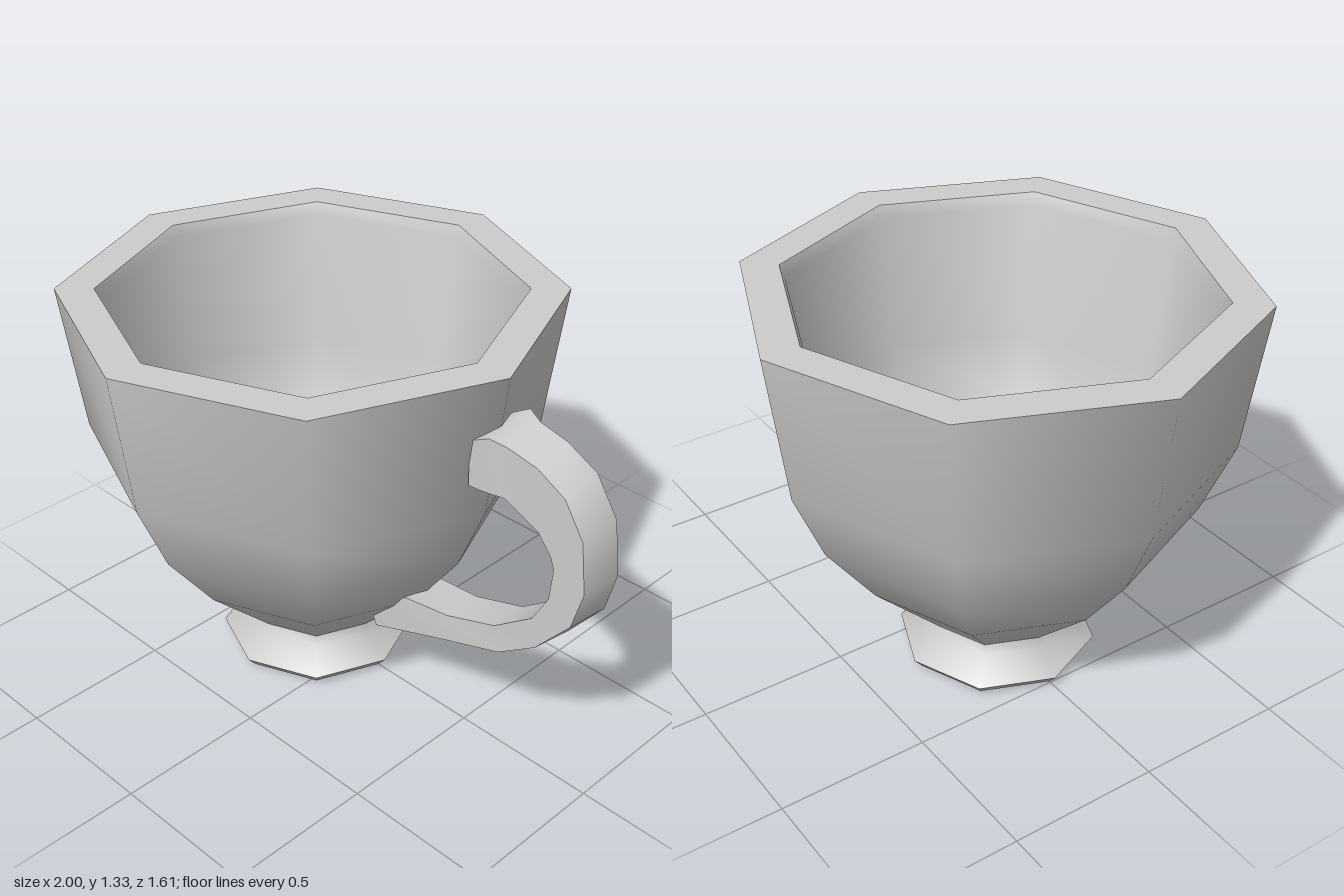
import * as THREE from 'three';
import { toCreasedNormals } from 'three/addons/utils/BufferGeometryUtils.js';

const clay = new THREE.MeshStandardMaterial({ color: 0xcccccc });
clay.name = 'plain grey';

// Octagonal lathe, smooth around the sides but sharp at rims and feet
function turned(name, profile) {
  const points = profile.map(([r, y]) => new THREE.Vector2(r, y));
  const geometry = toCreasedNormals(new THREE.LatheGeometry(points, 8), 0.84);
  const mesh = new THREE.Mesh(geometry, clay);
  mesh.name = name;
  mesh.position.x = -0.195;
  return mesh;
}

// Handle cross-sections: outer x, y, inner x, y, front z, back z
const SECTIONS = [
  [0.54, 1.15, 0.54, 0.975, 0.08, -0.09],
  [0.61, 1.19, 0.60, 0.98, 0.08, -0.1],
  [0.67, 1.18, 0.67, 0.985, 0.07, -0.075],
  [0.78, 1.165, 0.80, 0.93, 0.07, -0.065],
  [0.89, 1.11, 0.85, 0.87, 0.07, -0.065],
  [0.97, 0.99, 0.865, 0.83, 0.07, -0.065],
  [0.995, 0.81, 0.855, 0.72, 0.07, -0.065],
  [0.96, 0.67, 0.80, 0.62, 0.07, -0.065],
  [0.84, 0.52, 0.66, 0.515, 0.07, -0.065],
  [0.71, 0.42, 0.47, 0.45, 0.07, -0.07],
  [0.45, 0.33, 0.30, 0.43, 0.075, -0.08],
  [0.16, 0.24, 0.12, 0.34, 0.07, -0.08],
];

function buildHandle() {
  const positions = [];
  const index = [];
  SECTIONS.forEach(([ox, oy, ix, iy, front, back], i) => {
    // The front outer edge sits a little inside the back one
    const inset = i === SECTIONS.length - 1 ? 0 : 0.12;
    const fx = ox + (ix - ox) * inset;
    const fy = oy + (iy - oy) * inset;
    positions.push(fx, fy, front, ox, oy, back, ix, iy, back, ix, iy, front);
    if (i === 0) return;
    for (let k = 0; k < 4; k++) {
      const a = (i - 1) * 4 + k;
      const b = (i - 1) * 4 + ((k + 1) % 4);
      index.push(a, a + 4, b, b, a + 4, b + 4);
    }
  });
  // End caps
  const e = (SECTIONS.length - 1) * 4;
  index.push(0, 1, 2, 0, 2, 3, e, e + 2, e + 1, e, e + 3, e + 2);
  const geometry = new THREE.BufferGeometry();
  geometry.setAttribute('position', new THREE.Float32BufferAttribute(positions, 3));
  geometry.setIndex(index);
  const mesh = new THREE.Mesh(toCreasedNormals(geometry, 0.84), clay);
  mesh.name = 'handle';
  return mesh;
}

export function createModel() {
  const cup = new THREE.Group();
  cup.name = 'cup';

  // Outer wall, flat rim, inner wall and shallow bowl floor
  cup.add(turned('bowl', [
    [0.235, 0.14], [0.47, 0.37], [0.64, 0.6], [0.74, 0.84], [0.805, 1.33],
    [0.68, 1.33], [0.665, 1.29], [0.61, 0.84], [0.53, 0.6], [0.4, 0.36], [0, 0.27],
  ]));

  // Flared foot with a bevelled underside
  cup.add(turned('foot', [
    [0, 0], [0.3, 0], [0.33, 0.035], [0.25, 0.11], [0.235, 0.15],
  ]));

  cup.add(buildHandle());
  return cup;
}
